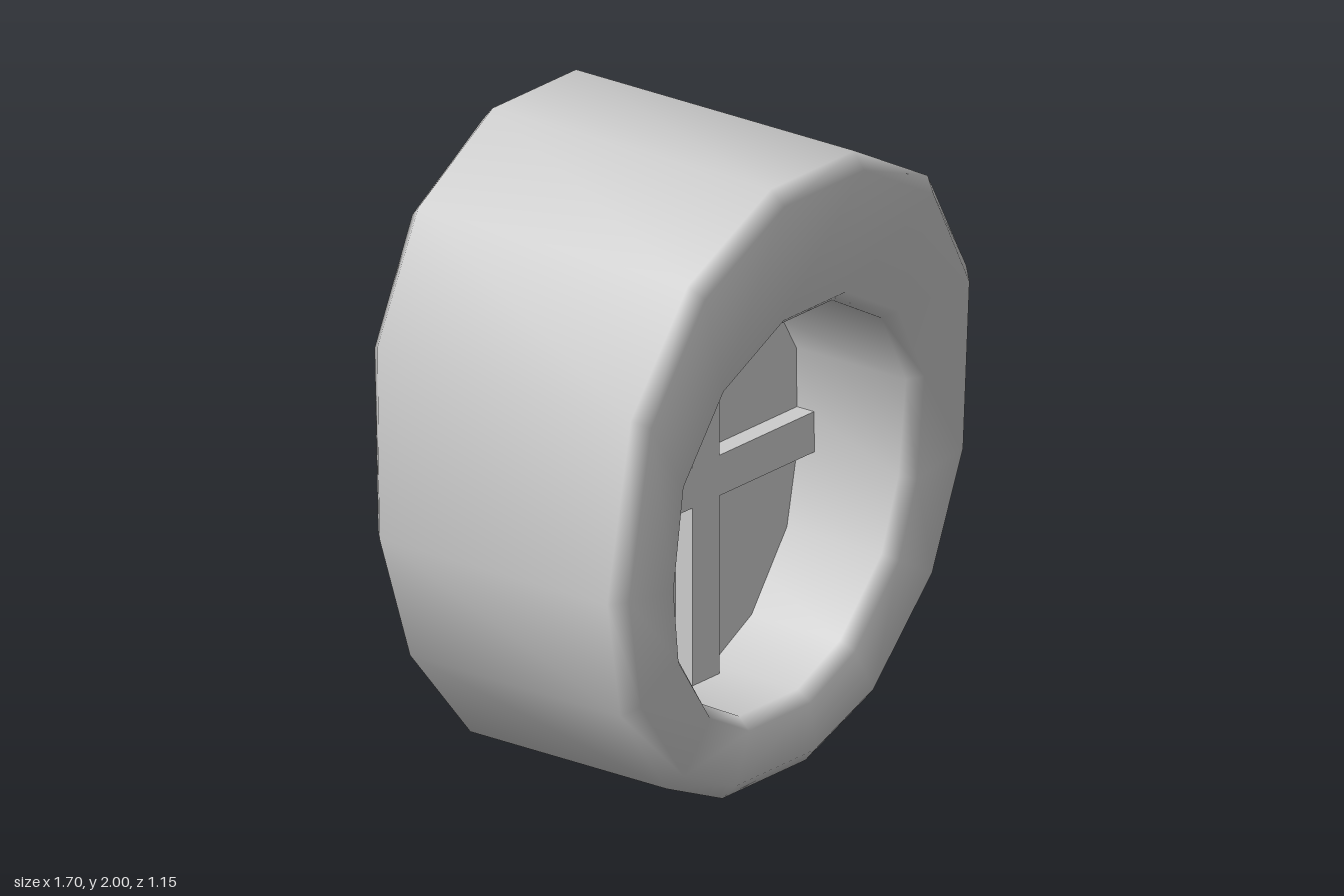
import * as THREE from 'three';

// right half outlines, bottom to top; mirrored to close the loop counter-clockwise
const outerHalf = [[0.2, 0], [0.48, 0.12], [0.74, 0.44], [0.85, 0.84], [0.805, 1.43], [0.575, 1.8], [0.2, 2]];
const innerHalf = [[0.14, 0.25], [0.33, 0.35], [0.5, 0.58], [0.55, 0.82], [0.545, 1.14], [0.395, 1.39], [0.14, 1.53]];
const mirror = half => [...half, ...half.map(([x, y]) => [-x, y]).reverse()];

// move a point towards (positive) or away from the opening's centre
function inset([x, y], d) {
  const cy = 0.93, k = 1 - d / Math.hypot(x, y - cy);
  return [x * k, cy + (y - cy) * k];
}

// the frame gets deeper towards the top
const frontZ = y => 0.385 + 0.0975 * y;
const backZ = y => -(0.425 + 0.077 * y);

// bevelled ring swept around the two outlines
function frameGeometry() {
  const outer = mirror(outerHalf), inner = mirror(innerHalf);
  const n = outer.length, bevel = 0.045, pos = [], idx = [];
  for (let i = 0; i < n; i++) {
    const o = outer[i], oi = inset(o, 0.05), p = inner[i], pi = inset(p, -0.035);
    const of = frontZ(oi[1]), ob = backZ(oi[1]), pf = frontZ(pi[1]), pb = backZ(pi[1]);
    pos.push(
      ...o, of - bevel, ...oi, of, ...pi, pf, ...p, pf - bevel,
      ...p, pb + bevel, ...pi, pb, ...oi, ob, ...o, ob + bevel);
    for (let k = 0; k < 8; k++) {
      const j = (i + 1) % n, l = (k + 1) % 8;
      const a = i * 8 + k, b = j * 8 + k, c = j * 8 + l, d = i * 8 + l;
      idx.push(a, b, c, a, c, d);
    }
  }
  const g = new THREE.BufferGeometry();
  g.setAttribute('position', new THREE.Float32BufferAttribute(pos, 3));
  g.setIndex(idx);
  g.computeVertexNormals();
  return g;
}

export function createModel() {
  const group = new THREE.Group();
  const mat = new THREE.MeshStandardMaterial({ color: 0xcccccc });
  const add = (name, geo, x = 0, y = 0, z = 0) => {
    const m = new THREE.Mesh(geo, mat);
    m.name = name;
    m.position.set(x, y, z);
    group.add(m);
  };

  add('frame', frameGeometry());

  // thin pane filling the opening
  const shape = new THREE.Shape(mirror(innerHalf).map(([x, y]) => new THREE.Vector2(x, y)));
  add('pane', new THREE.ExtrudeGeometry(shape, { depth: 0.03, bevelEnabled: false }), 0, 0, 0.005);

  // crossing glazing bars, standing out on both sides of the pane
  const t = 0.13, depth = 0.16, bx = 0.03, by = 0.885, bz = 0.02;
  add('verticalBar', new THREE.BoxGeometry(t, 1.28, depth), bx, 0.89, bz);
  for (const [name, x0, x1] of [['leftBar', bx + t / 2, 0.55], ['rightBar', -0.55, bx - t / 2]])
    add(name, new THREE.BoxGeometry(x1 - x0, t, depth), (x0 + x1) / 2, by, bz);

  return group;
}
